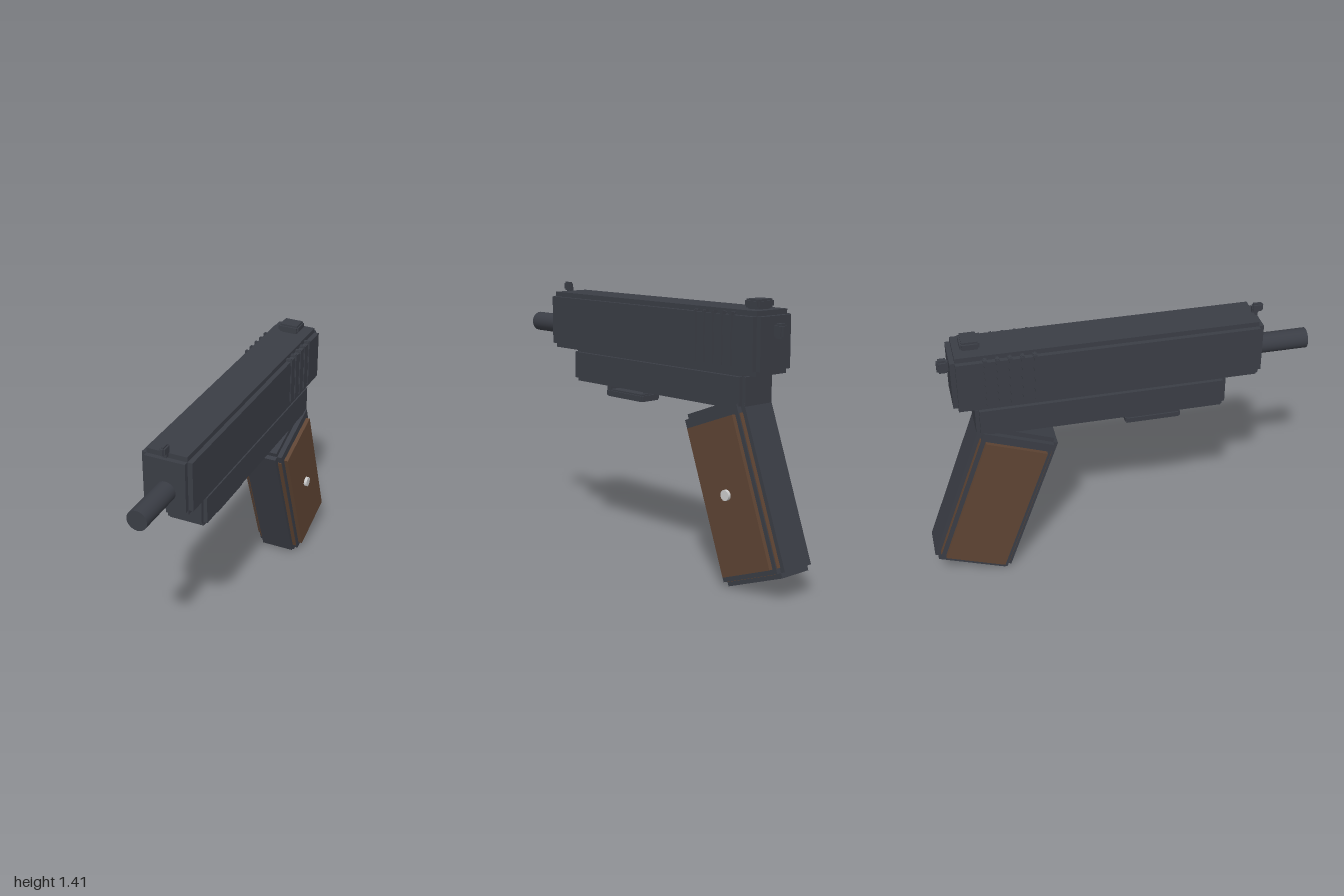
import * as THREE from 'three';

export function createModel() {
  const model = new THREE.Group();
  model.name = 'pistol';
  const steel = new THREE.MeshStandardMaterial({ color: 0x3a3d45 });
  const wood = new THREE.MeshStandardMaterial({ color: 0x5e4433 });
  const silver = new THREE.MeshStandardMaterial({ color: 0xcccccc });
  const cx = -0.009; // centre plane of the body; the screw sticks out on one side

  const box = (name, size, pos, material = steel, parent = model) => {
    const mesh = new THREE.Mesh(new THREE.BoxGeometry(...size), material);
    mesh.name = name;
    mesh.position.set(...pos);
    parent.add(mesh);
    return mesh;
  };

  // Box with stepped edges: three slabs, each full size along one axis only
  const stepped = (name, size, pos, step, material = steel, parent = model) => {
    const group = new THREE.Group();
    group.name = name;
    group.position.set(...pos);
    for (let axis = 0; axis < 3; axis++) {
      box(name + 'Slab', size.map((s, i) => (i === axis ? s : s - 2 * step)), [0, 0, 0], material, group);
    }
    parent.add(group);
    return group;
  };

  const rod = (name, radius, length, pos, sides, material = steel) => {
    const mesh = new THREE.Mesh(new THREE.CylinderGeometry(radius, radius, length, sides), material);
    mesh.name = name;
    mesh.position.set(...pos);
    model.add(mesh);
    return mesh;
  };

  // Slide, barrel and frame
  stepped('slide', [0.257, 0.305, 1.56], [cx, 1.213, -0.047], 0.025);
  rod('barrel', 0.052, 0.4, [cx, 1.175, 0.8], 24).rotation.x = Math.PI / 2;
  stepped('frame', [0.222, 0.18, 1.28], [cx, 0.98, -0.085], 0.02);

  // Grip serrations on both sides of the slide
  for (let i = 0; i < 5; i++) {
    stepped('serration', [0.268, 0.257, 0.02], [cx, 1.225, -0.42 - i * 0.06], 0.004);
  }

  // Sights and hammer
  stepped('frontSight', [0.028, 0.046, 0.058], [cx, 1.39, 0.728], 0.008);
  box('frontSightPost', [0.02, 0.04, 0.03], [cx, 1.37, 0.715]);
  stepped('rearSight', [0.114, 0.042, 0.096], [cx, 1.392, -0.72], 0.009);
  box('rearSightBase', [0.08, 0.03, 0.07], [cx, 1.365, -0.72]);
  stepped('hammer', [0.045, 0.07, 0.058], [cx, 1.271, -0.855], 0.01);

  // Trigger guard and trigger
  stepped('guardBar', [0.13, 0.04, 0.29], [cx, 0.847, 0.185], 0.008);
  box('guardFront', [0.114, 0.09, 0.03], [cx, 0.875, 0.313]);
  stepped('trigger', [0.045, 0.06, 0.056], [cx, 0.888, 0.063], 0.009).rotation.x = 0.2;

  // Raked grip with wooden panels
  const grip = new THREE.Group();
  grip.name = 'grip';
  grip.position.set(cx, 0.475, -0.658);
  grip.rotation.x = THREE.MathUtils.degToRad(20);
  stepped('gripBody', [0.237, 0.87, 0.423], [0, 0, 0], 0.026, steel, grip);
  stepped('gripPanels', [0.28, 0.802, 0.379], [0, -0.01, 0], 0.027, wood, grip);
  model.add(grip);

  // Panel screw on the left side
  rod('gripScrew', 0.027, 0.04, [0.127, 0.478, -0.658], 16, silver).rotation.z = Math.PI / 2;

  return model;
}
